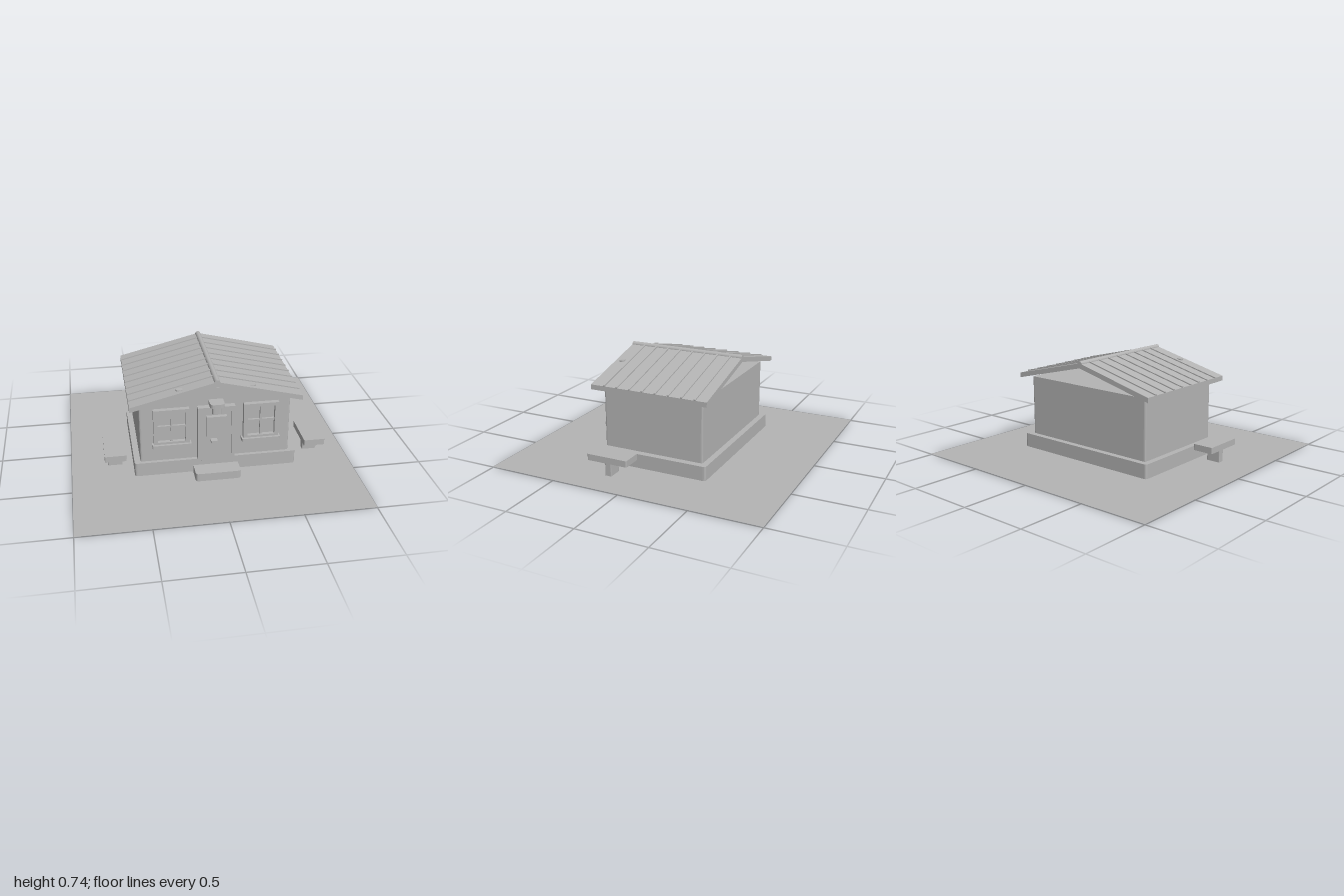
import * as THREE from 'three';

const plaster = new THREE.MeshStandardMaterial({ color: 0xb4b4b4, side: THREE.DoubleSide });
plaster.name = 'plain grey';

const CX = 0.017; // the house axis sits slightly off centre

export function createModel() {
  const model = new THREE.Group();
  model.name = 'cottage';

  const add = (name, geo, parent = model) => {
    const m = new THREE.Mesh(geo, plaster);
    m.name = name;
    parent.add(m);
    return m;
  };

  // box given by its limits
  const box = (name, x0, x1, y0, y1, z0, z1, parent) => {
    const g = new THREE.BoxGeometry(x1 - x0, y1 - y0, z1 - z0);
    g.translate((x0 + x1) / 2, (y0 + y1) / 2, (z0 + z1) / 2);
    return add(name, g, parent);
  };

  // block with rounded vertical corners; rb is the radius at the back
  const block = (name, x0, x1, y0, y1, z0, z1, r, rb = r, parent = model) => {
    const s = new THREE.Shape();
    s.moveTo(x0 + r, -z1);
    s.lineTo(x1 - r, -z1);
    s.quadraticCurveTo(x1, -z1, x1, -z1 + r);
    s.lineTo(x1, -z0 - rb);
    if (rb) s.quadraticCurveTo(x1, -z0, x1 - rb, -z0);
    s.lineTo(x0 + rb, -z0);
    if (rb) s.quadraticCurveTo(x0, -z0, x0, -z0 - rb);
    s.lineTo(x0, -z1 + r);
    s.quadraticCurveTo(x0, -z1, x0 + r, -z1);
    const g = new THREE.ExtrudeGeometry(s, { depth: y1 - y0, bevelEnabled: false, curveSegments: 4 });
    g.rotateX(-Math.PI / 2);
    g.translate(0, y0, 0);
    return add(name, g, parent);
  };

  // profile in x and y, extruded between two z limits
  const prism = (name, pts, z0, z1) => {
    const s = new THREE.Shape(pts.map(([x, y]) => new THREE.Vector2(x, y)));
    const g = new THREE.ExtrudeGeometry(s, { depth: z1 - z0, bevelEnabled: false });
    g.translate(0, 0, z0);
    return add(name, g);
  };

  // ground
  const ground = new THREE.PlaneGeometry(2, 2);
  ground.rotateX(-Math.PI / 2);
  ground.translate(0, 0.005, 0);
  add('ground', ground);

  // plinth, walls and doorstep
  block('plinth', -0.56, 0.595, 0.013, 0.115, -0.436, 0.382, 0.02);
  block('walls', -0.517, 0.547, 0.115, 0.55, -0.393, 0.356, 0.014);
  block('doorstep', -0.145, 0.175, 0, 0.064, 0.355, 0.505, 0.025, 0);

  // front gable and its round-ended beam
  prism('frontGable', [[-0.5, 0.54], [0.53, 0.54], [0.53, 0.567], [CX, 0.694], [-0.5, 0.567]], 0.32, 0.356);
  block('gableBeam', -0.26, 0.294, 0.607, 0.668, 0.35, 0.384, 0.014);

  // roof shell
  const half = 0.6, eave = 0.577, top = 0.725, thick = 0.035;
  prism('roof', [
    [CX - half, eave], [CX - half, eave - thick], [CX, top - thick],
    [CX + half, eave - thick], [CX + half, eave], [CX, top],
  ], -0.452, 0.418);

  // raised roof seams
  const pitch = Math.atan2(top - eave, half);
  const length = Math.hypot(top - eave, half);
  for (const side of [-1, 1]) {
    for (let i = 0; i < 8; i++) {
      const seam = add('roofSeam', new THREE.BoxGeometry(length, 0.016, 0.012));
      seam.position.set(CX + side * half / 2, (top + eave) / 2, 0.315 - i * 0.0973);
      seam.rotation.z = -side * pitch;
    }
  }

  // ridge cap
  const ridge = new THREE.CylinderGeometry(0.02, 0.02, 0.87, 12);
  ridge.rotateX(Math.PI / 2);
  ridge.translate(CX, 0.72, -0.017);
  add('ridgeCap', ridge);

  // door with frame, window and letter plate
  const door = new THREE.Group();
  door.name = 'door';
  model.add(door);
  box('doorLeaf', -0.09, 0.125, 0.1, 0.49, 0.35, 0.388, door);
  box('doorPostRight', -0.115, -0.088, 0.115, 0.525, 0.35, 0.4, door);
  box('doorPostLeft', 0.123, 0.148, 0.115, 0.525, 0.35, 0.4, door);
  box('doorHeader', -0.088, 0.123, 0.488, 0.525, 0.35, 0.398, door);
  box('doorWindow', -0.057, 0.087, 0.305, 0.46, 0.38, 0.418, door);
  block('letterPlate', -0.025, 0.02, 0.26, 0.277, 0.38, 0.43, 0.006, 0, door);

  // lantern above the door
  const lantern = new THREE.Group();
  lantern.name = 'lantern';
  model.add(lantern);
  block('lanternBody', -0.018, 0.05, 0.485, 0.54, 0.35, 0.432, 0.02, 0, lantern);
  block('lanternCap', -0.035, 0.067, 0.54, 0.568, 0.35, 0.448, 0.03, 0, lantern);

  // windows with frame, glazing bars and sill
  for (const [name, cx] of [['windowRight', -0.296], ['windowLeft', 0.335]]) {
    const w = new THREE.Group();
    w.name = name;
    w.position.x = cx;
    model.add(w);
    box('pane', -0.1, 0.1, 0.26, 0.51, 0.352, 0.362, w);
    for (const s of [-1, 1]) box('frameSide', s * 0.111 - 0.014, s * 0.111 + 0.014, 0.258, 0.524, 0.35, 0.39, w);
    box('frameTop', -0.097, 0.097, 0.5, 0.524, 0.35, 0.39, w);
    box('frameBottom', -0.097, 0.097, 0.258, 0.276, 0.35, 0.39, w);
    box('barUpright', -0.007, 0.007, 0.276, 0.5, 0.355, 0.38, w);
    box('barCross', -0.097, 0.097, 0.382, 0.396, 0.355, 0.378, w);
    block('sill', -0.137, 0.137, 0.238, 0.26, 0.35, 0.408, 0.01, 0, w);
  }

  // benches on either side
  for (const [name, cx] of [['benchRight', -0.689], ['benchLeft', 0.752]]) {
    const b = new THREE.Group();
    b.name = name;
    b.position.x = cx;
    model.add(b);
    block('benchSeat', -0.076, 0.076, 0.115, 0.16, 0.03, 0.332, 0.008, 0.008, b);
    block('benchLeg', -0.052, 0.052, 0.015, 0.115, 0.163, 0.21, 0.006, 0.006, b);
  }

  return model;
}
